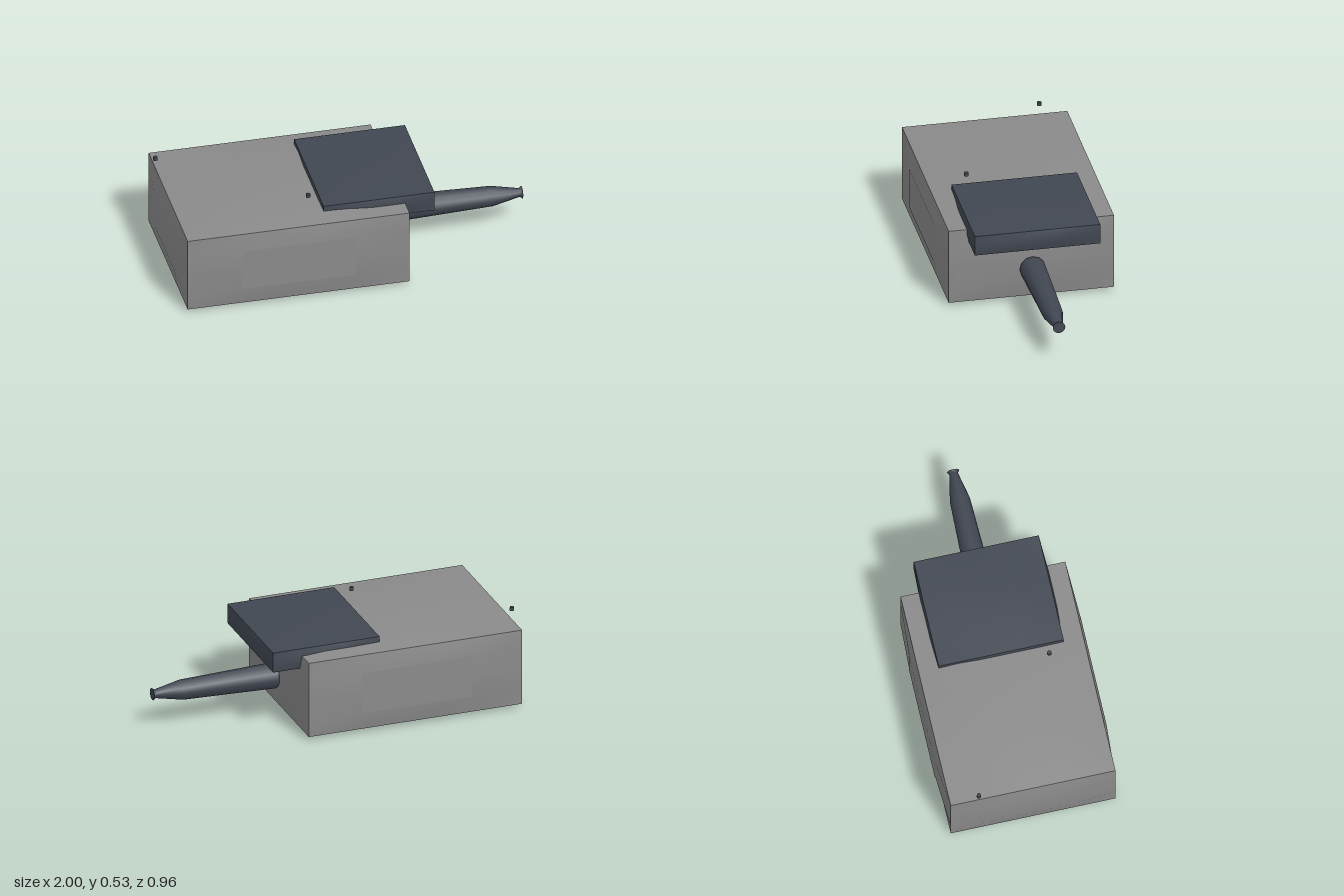
import * as THREE from 'three';

const material = (name, color) => new THREE.MeshStandardMaterial({ name, color });

// Box whose edges stay straight while the inner points of each face swell outwards.
function bulgedBox(min, max, segments, bulge) {
  const size = max.map((v, i) => v - min[i]);
  const geo = new THREE.BoxGeometry(...size, segments, segments, segments);
  const pos = geo.attributes.position;
  const normal = geo.attributes.normal;
  for (let i = 0; i < pos.count; i++) {
    const p = [pos.getX(i), pos.getY(i), pos.getZ(i)];
    const onSides = p.filter((v, k) => Math.abs(v) > size[k] / 2 - 1e-4).length;
    if (onSides === 1) {
      pos.setXYZ(i, p[0] + normal.getX(i) * bulge, p[1] + normal.getY(i) * bulge, p[2] + normal.getZ(i) * bulge);
    }
  }
  geo.translate(...max.map((v, i) => (v + min[i]) / 2));
  geo.computeVertexNormals();
  return geo;
}

export function createModel() {
  const group = new THREE.Group();
  const grey = material('armour grey', 0x8a8a8a);
  const dark = material('dark steel', 0x414752);

  const add = (name, geo, mat, x = 0, y = 0, z = 0) => {
    const mesh = new THREE.Mesh(geo, mat);
    mesh.name = name;
    mesh.position.set(x, y, z);
    group.add(mesh);
    return mesh;
  };

  // Main housing and the slab over its front end
  add('housing', bulgedBox([-0.98, 0.02, -0.46], [0.262, 0.46, 0.46], 4, 0.02), grey);
  add('roofSlab', bulgedBox([-0.192, 0.385, -0.349], [0.428, 0.501, 0.349], 3, 0.01), dark);

  // Flat panels on both long sides
  for (const side of [1, -1]) {
    const panel = add('sidePanel', new THREE.PlaneGeometry(0.64, 0.24), grey, -0.36, 0.24, side * 0.481);
    if (side < 0) panel.rotation.y = Math.PI;
  }

  // Barrel: tapered tube, cone and flared muzzle
  const profile = [[0.275, 0.062], [0.295, 0.072], [0.83, 0.056], [0.985, 0.024], [1, 0.035]];
  const barrel = add('barrel', new THREE.LatheGeometry(
    profile.map(([x, r]) => new THREE.Vector2(r, x)), 12), dark, 0, 0.2, 0);
  barrel.rotation.z = -Math.PI / 2;
  const muzzle = add('muzzleCap', new THREE.CircleGeometry(0.035, 12), dark, 1, 0.2, 0);
  muzzle.rotation.y = Math.PI / 2;
  const base = add('barrelBase', new THREE.CircleGeometry(0.062, 12), dark, 0.275, 0.2, 0);
  base.rotation.y = -Math.PI / 2;

  // Small studs above the roof
  for (const [x, z] of [[-0.98, -0.303], [-0.257, 0.254]]) {
    add('stud', new THREE.CylinderGeometry(0.012, 0.013, 0.02, 8), dark, x, 0.523, z);
  }
  return group;
}
